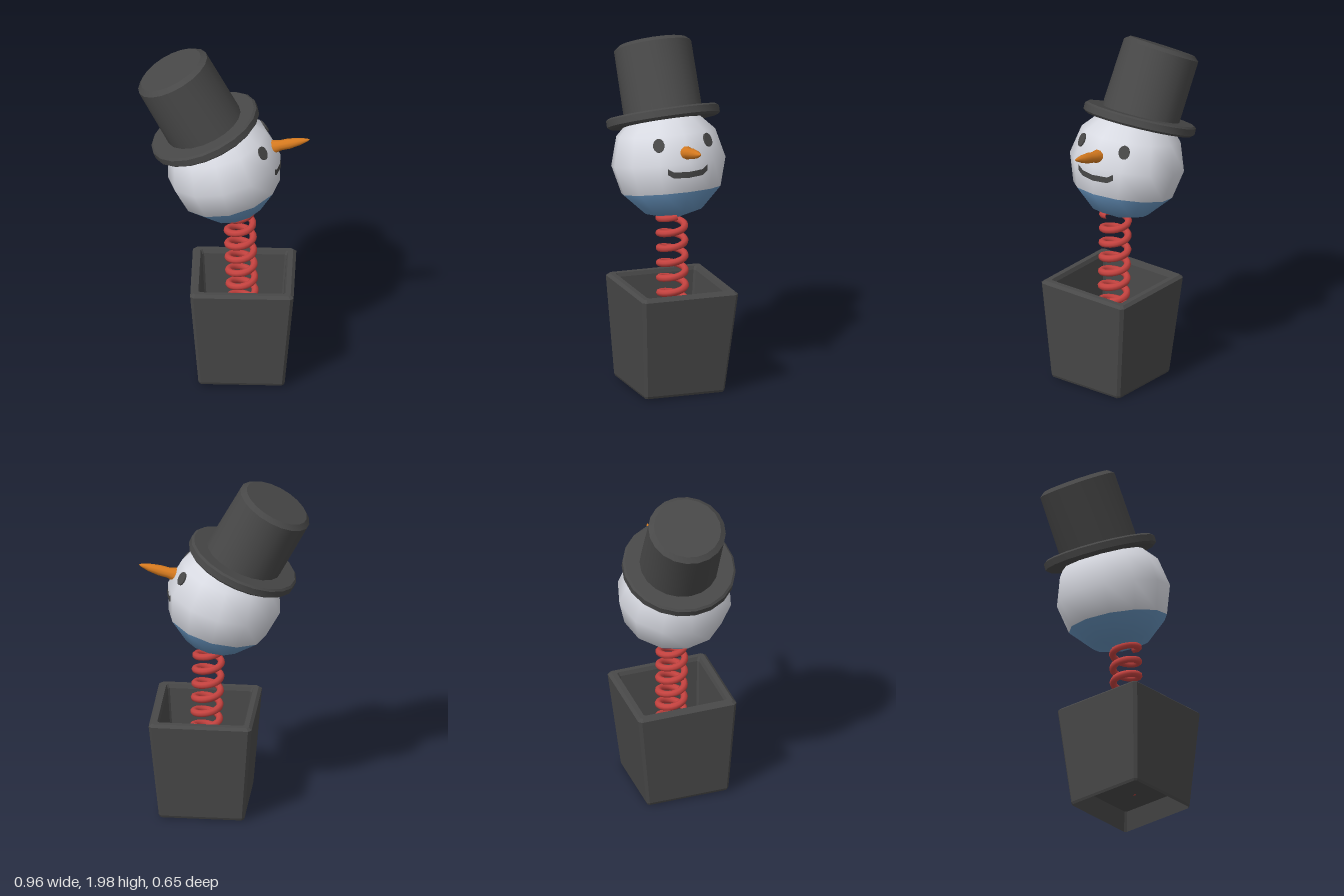
import * as THREE from 'three';
import { toCreasedNormals } from 'three/addons/utils/BufferGeometryUtils.js';

const mat = (name, color) => {
  const m = new THREE.MeshStandardMaterial({ color });
  m.name = name;
  return m;
};

function mesh(name, geometry, material, parent) {
  const m = new THREE.Mesh(geometry, material);
  m.name = name;
  parent.add(m);
  return m;
}

const lathe = (profile, sides) =>
  new THREE.LatheGeometry(profile.map(([r, y]) => new THREE.Vector2(r, y)), sides);

// Loft through chamfered square rings [halfWidth, y, chamfer], capped at both ends
function squareLoft(rings) {
  const loops = rings.map(([h, y, c]) => {
    const pts = [];
    for (let k = 0, p = [[h, c - h], [h, h - c]]; k < 4; k++) {
      p.forEach(([x, z]) => pts.push([x, y, z]));
      p = p.map(([x, z]) => [-z, x]);
    }
    return pts;
  });
  const pos = [];
  const tri = (...corners) => corners.forEach((c) => pos.push(...c));
  const last = loops.length - 1;
  for (let k = 0; k < 8; k++) {
    const n = (k + 1) % 8;
    tri([0, rings[0][1], 0], loops[0][k], loops[0][n]);
    tri([0, rings[last][1], 0], loops[last][n], loops[last][k]);
    for (let i = 0; i < last; i++) {
      const a = loops[i], b = loops[i + 1];
      tri(a[k], b[k], b[n]);
      tri(a[k], b[n], a[n]);
    }
  }
  const g = new THREE.BufferGeometry();
  g.setAttribute('position', new THREE.Float32BufferAttribute(pos, 3));
  g.computeVertexNormals();
  return g;
}

class Helix extends THREE.Curve {
  getPoint(t, target = new THREE.Vector3()) {
    const a = t * 10 * Math.PI * 2;
    const r = 0.073;
    return target.set(0.112 - 0.026 * t + r * Math.cos(a), 0.13 + 0.87 * t, 0.015 - r * Math.sin(a));
  }
}

// Curved strip wrapped just above the faceted face
function mouthGeometry() {
  const sections = [[-0.12, -0.036], [-0.085, -0.059], [0, -0.063], [0.085, -0.059], [0.12, -0.036]];
  const pos = [], index = [];
  sections.forEach(([z, y], i) => {
    for (const dy of [-0.017, 0.017]) {
      pos.push(0.331 - 0.268 * (Math.abs(y + dy) + Math.abs(z)), y + dy, z);
    }
    if (i) {
      const a = 2 * i - 2;
      index.push(a, a + 1, a + 2, a + 1, a + 3, a + 2);
    }
  });
  const g = new THREE.BufferGeometry();
  g.setAttribute('position', new THREE.Float32BufferAttribute(pos, 3));
  g.setIndex(index);
  g.computeVertexNormals();
  return g;
}

export function createModel() {
  const dark = mat('charcoal', 0x484848);
  const white = mat('snowWhite', 0xd9dbe3);
  const blue = mat('chinBlue', 0x6490ba);
  const red = mat('springRed', 0xc4423f);
  const orange = mat('carrotOrange', 0xd67a1f);
  dark.side = THREE.DoubleSide;

  const model = new THREE.Group();
  model.name = 'snowmanInABox';

  // Tapered open box with a recessed underside
  const box = mesh('box', squareLoft([
    [0.212, 0.11, 0.01], [0.236, 0, 0.012], [0.242, 0.014, 0.015], [0.29, 0.582, 0.018],
    [0.273, 0.597, 0.012], [0.245, 0.597, 0.01], [0.236, 0.575, 0.01], [0.21, 0.13, 0.01],
  ]), dark, model);
  box.position.set(0.105, 0.006, 0.037);
  box.rotation.set(-0.026, 0, -0.005);

  // Coil spring
  mesh('spring', new THREE.TubeGeometry(new Helix(), 240, 0.02, 8), red, model);

  // Head, tipped back; its face looks along local +x
  const head = new THREE.Group();
  head.name = 'head';
  head.position.set(0, 1.28, 0);
  head.rotation.z = THREE.MathUtils.degToRad(14);
  model.add(head);
  const third = Math.PI / 3;
  mesh('face', new THREE.SphereGeometry(0.325, 12, 4, 0, Math.PI * 2, 0, 2 * third), white, head);
  mesh('chin', new THREE.SphereGeometry(0.325, 12, 2, 0, Math.PI * 2, 2 * third, third), blue, head);

  // Carrot nose
  const nose = mesh('nose', lathe([
    [0, 0], [0.038, 0.004], [0.04, 0.02], [0.03, 0.06], [0.03, 0.11], [0.022, 0.17], [0.008, 0.22], [0, 0.232],
  ], 10), orange, head);
  nose.position.set(0.278, 0.058, 0);
  nose.rotation.z = -Math.PI / 2;

  // Eyes
  for (const s of [-1, 1]) {
    const eye = mesh(s > 0 ? 'rightEye' : 'leftEye',
      new THREE.CylinderGeometry(0.032, 0.032, 0.009, 14).rotateX(Math.PI / 2).scale(1, 1.25, 1), dark, head);
    const normal = new THREE.Vector3(0.837, 0.259, 0.483 * s);
    eye.position.set(0.255, 0.114, 0.147 * s).addScaledVector(normal, 0.002);
    eye.rotation.order = 'YXZ';
    eye.rotation.set(-Math.asin(0.259), Math.atan2(normal.x, normal.z), 0);
  }
  mesh('mouth', mouthGeometry(), dark, head);

  // Top hat: brim and crown with slightly different tilts
  const hat = new THREE.Group();
  hat.name = 'topHat';
  model.add(hat);
  const brim = mesh('hatBrim', toCreasedNormals(lathe([
    [0, -0.03], [0.305, -0.03], [0.32, -0.018], [0.32, 0.02], [0.308, 0.03], [0, 0.03],
  ], 20), 0.6), dark, hat);
  brim.position.set(-0.105, 1.508, -0.01);
  brim.rotation.z = THREE.MathUtils.degToRad(23);

  const crown = mesh('hatCrown', toCreasedNormals(lathe([
    [0, -0.05], [0.222, -0.05], [0.219, 0.362], [0.19, 0.385], [0, 0.385],
  ], 20), 0.6), dark, hat);
  crown.position.set(-0.119, 1.548, -0.012);
  crown.rotation.set(-0.03, 0, THREE.MathUtils.degToRad(28));

  return model;
}
